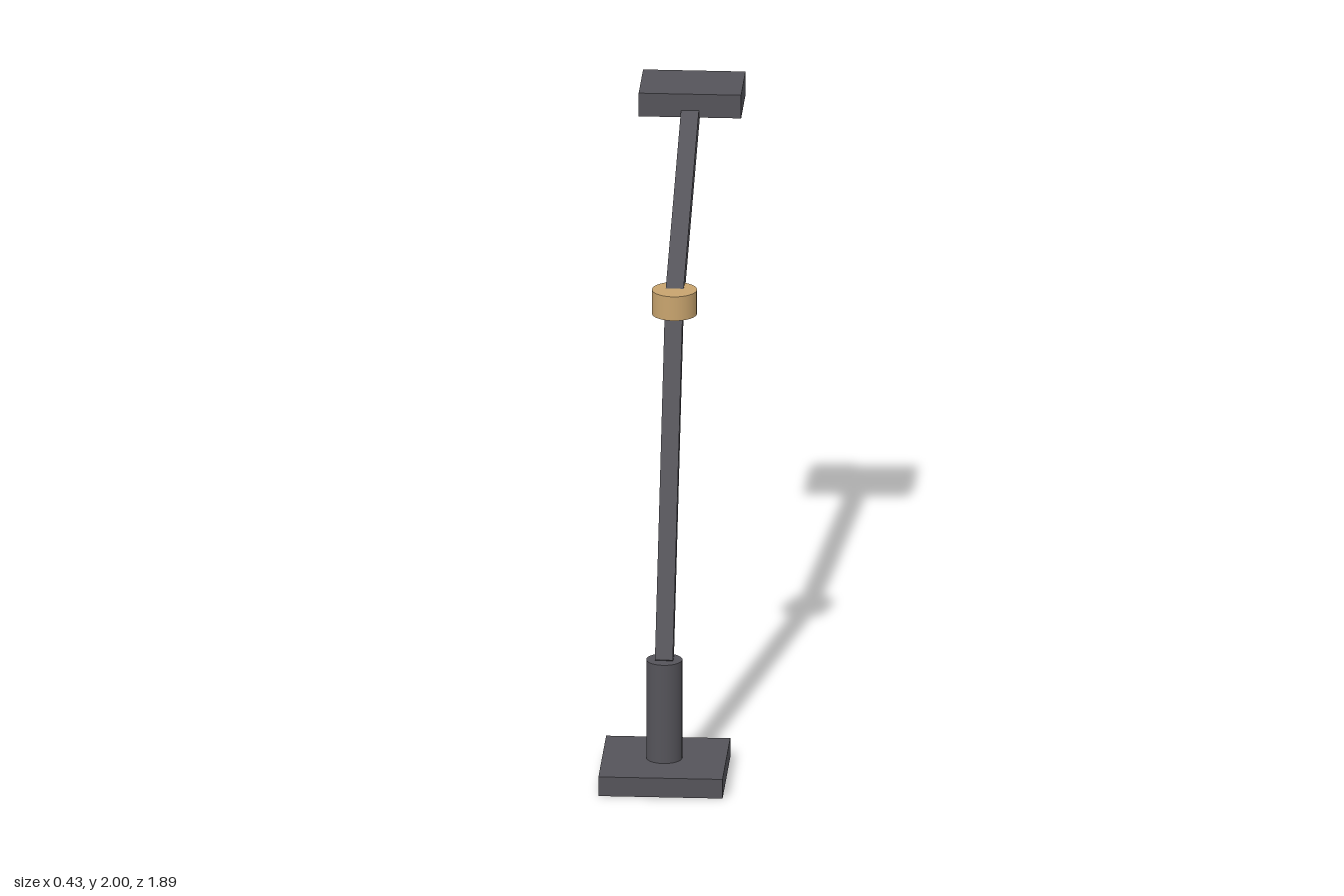
import * as THREE from 'three';

export function createModel() {
  const model = new THREE.Group();
  const dark = new THREE.MeshStandardMaterial({ color: 0x55545a });
  const tan = new THREE.MeshStandardMaterial({ color: 0xc8a46e });

  const add = (name, geometry, material, y, z) => {
    const mesh = new THREE.Mesh(geometry, material);
    mesh.name = name;
    mesh.position.set(0, y, z);
    model.add(mesh);
    return mesh;
  };

  // Square bar running between two points [y, z] in the x = 0 plane
  const addArm = (name, [y0, z0], [y1, z1], width) => {
    const length = Math.hypot(y1 - y0, z1 - z0);
    const geometry = new THREE.BoxGeometry(width, length, width);
    const arm = add(name, geometry, dark, (y0 + y1) / 2, (z0 + z1) / 2);
    arm.rotation.x = Math.atan2(z1 - z0, y1 - y0);
  };

  // Square foot and upright post
  add('base', new THREE.BoxGeometry(0.43, 0.07, 0.43), dark, 0.035, 0.73);
  add('post', new THREE.CylinderGeometry(0.0625, 0.0625, 0.36, 32), dark, 0.25, 0.73);

  // Two arms meeting at the elbow
  addArm('lowerArm', [0.423, 0.73], [1.543, 0.165], 0.062);
  addArm('upperArm', [1.55, 0.163], [1.957, -0.82], 0.062);
  add('elbowJoint', new THREE.CylinderGeometry(0.078, 0.078, 0.088, 32), tan, 1.543, 0.163);

  // Flat lamp head
  add('head', new THREE.BoxGeometry(0.355, 0.085, 0.247), dark, 1.9575, -0.8215);

  return model;
}
